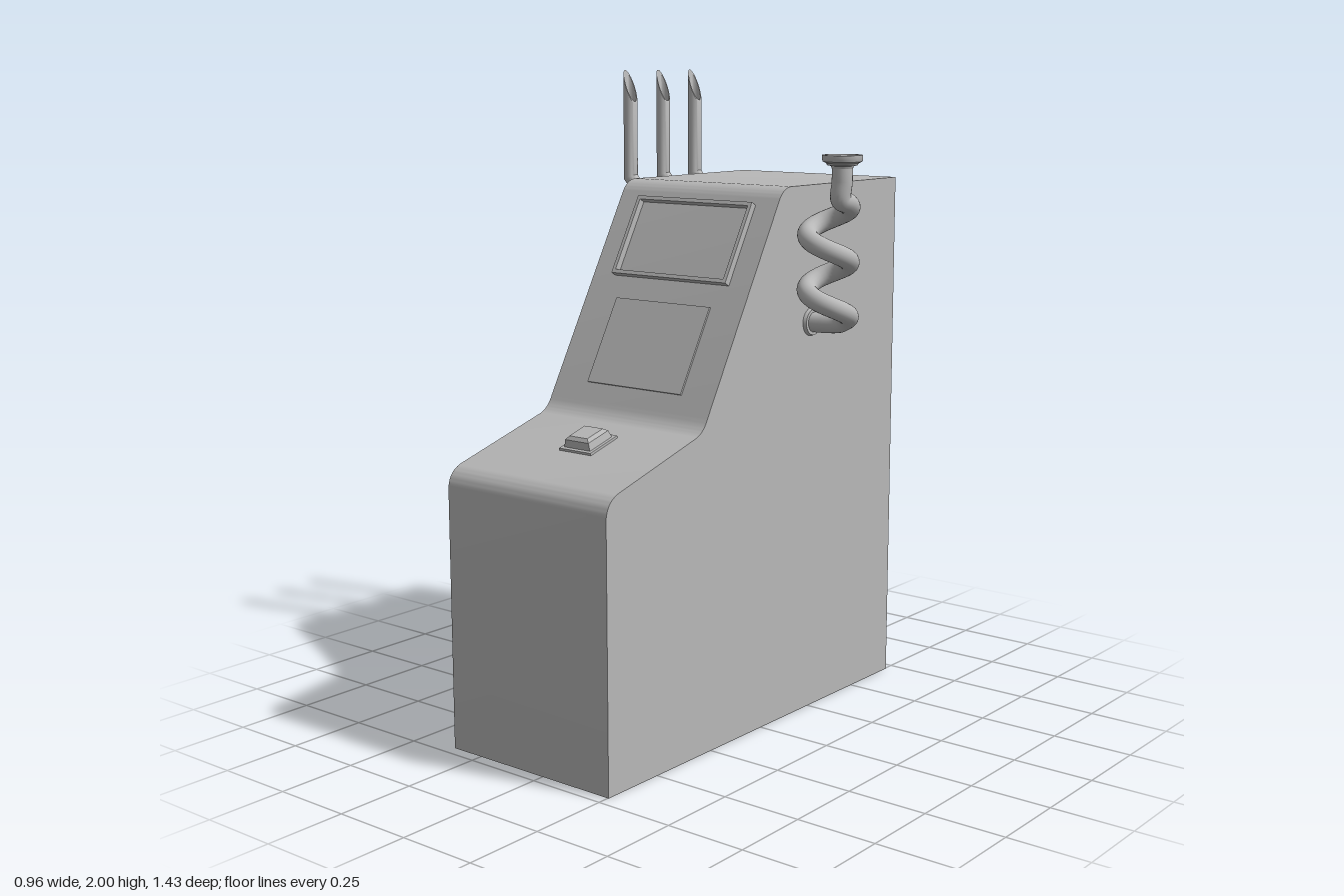
import * as THREE from 'three';
import { toCreasedNormals } from 'three/addons/utils/BufferGeometryUtils.js';

const grey = new THREE.MeshStandardMaterial({ color: 0xb8b8b8, side: THREE.DoubleSide });
grey.name = 'casing grey';

function part(name, geometry, crease) {
  const mesh = new THREE.Mesh(crease ? toCreasedNormals(geometry, crease) : geometry, grey);
  mesh.name = name;
  return mesh;
}

function rectangle(path, w, h) {
  return path.moveTo(-w / 2, -h / 2).lineTo(w / 2, -h / 2).lineTo(w / 2, h / 2).lineTo(-w / 2, h / 2).closePath();
}

// Side profile (z, y) with rounded corners, extruded across the width
function makeCabinet() {
  const s = new THREE.Shape();
  s.moveTo(-0.713, 0).lineTo(0.713, 0).lineTo(0.713, 0.8);
  s.quadraticCurveTo(0.71, 0.85, 0.66, 0.867);
  s.lineTo(0.32, 0.965);
  s.quadraticCurveTo(0.285, 0.977, 0.267, 1.015);
  s.lineTo(-0.075, 1.62);
  s.quadraticCurveTo(-0.097, 1.66, -0.14, 1.66);
  s.lineTo(-0.713, 1.66).closePath();
  const g = new THREE.ExtrudeGeometry(s, { depth: 0.613, bevelEnabled: false, curveSegments: 12 });
  g.rotateY(-Math.PI / 2).translate(0.253, 0, 0);
  return part('cabinet', g, 0.5);
}

// Raised screen border and the thin panel below it, lying on the sloped face
function makeSlopeDetails() {
  const group = new THREE.Group();
  group.name = 'slopeDetails';
  group.position.set(-0.05, 1.49, 0);
  group.rotation.x = -0.515;
  const border = rectangle(new THREE.Shape(), 0.445, 0.265);
  border.holes.push(rectangle(new THREE.Path(), 0.421, 0.241));
  const frame = new THREE.ExtrudeGeometry(border, { depth: 0.024, bevelEnabled: false });
  frame.translate(0, 0, -0.004);
  const panel = part('lowerPanel', new THREE.BoxGeometry(0.365, 0.28, 0.008));
  panel.position.set(0, -0.347, 0);
  group.add(part('screenFrame', frame), panel);
  return group;
}

// Four-sided tapered block standing on y = 0
function taperedBlock(base, top, height) {
  const g = new THREE.BoxGeometry(base, height, base).translate(0, height / 2, 0);
  const p = g.attributes.position;
  for (let i = 0; i < p.count; i++) {
    if (p.getY(i) > height / 2) p.setXYZ(i, p.getX(i) * top / base, height, p.getZ(i) * top / base);
  }
  g.computeVertexNormals();
  return g;
}

// Push button on the shelf
function makeButton() {
  const group = new THREE.Group();
  group.name = 'button';
  group.position.set(-0.05, 0.927, 0.443);
  group.rotation.x = 0.28;
  const plate = part('buttonPlate', new THREE.BoxGeometry(0.122, 0.02, 0.122));
  const skirt = part('buttonSkirt', taperedBlock(0.1, 0.09, 0.022));
  skirt.position.y = 0.01;
  const crown = part('buttonCrown', taperedBlock(0.09, 0.07, 0.009));
  crown.position.y = 0.032;
  group.add(plate, skirt, crown);
  return group;
}

// Bent exhaust pipe: rings sheared to the wall, the elbow and the slanted mouth
function exhaustGeometry() {
  const n = 24, R = 0.0225, r = 0.019, cx = -0.4605;
  const rings = [
    (c, s) => [-0.35, 1.535 + R * c * 1.45, R * s],
    (c, s) => [cx + R * c, 1.655 + R * c * 0.4, R * s],
    (c, s) => [cx + R * c, 1.945 - 0.055 * c, R * s],
    (c, s) => [cx + r * c, 1.945 - 0.046 * c, r * s],
    (c, s) => [cx + r * c, 1.67 + r * c * 0.4, r * s],
    () => [cx, 1.67, 0],
  ];
  const pos = [], idx = [];
  rings.forEach((f, j) => {
    for (let i = 0; i <= n; i++) {
      const a = i / n * Math.PI * 2;
      pos.push(...f(Math.cos(a), Math.sin(a)));
      if (j && i) {
        const b = j * (n + 1) + i, d = b - n - 1;
        idx.push(d - 1, b - 1, b, d - 1, b, d);
      }
    }
  });
  const g = new THREE.BufferGeometry();
  g.setAttribute('position', new THREE.Float32BufferAttribute(pos, 3));
  g.setIndex(idx);
  return g;
}

// Spiral pipe climbing from the side wall to a flared cup
function makeSpiralPipe() {
  const group = new THREE.Group();
  group.name = 'spiralPipe';
  const cx = 0.353, cz = -0.19, R = 0.063, points = [new THREE.Vector3(0.245, 1.24, -0.247)];
  points.push(new THREE.Vector3(0.3, 1.24, -0.25));
  const end = Math.PI * 2 * 2.31;
  for (let i = 0; i <= 36; i++) {
    const t = end * i / 36;
    points.push(new THREE.Vector3(cx + R * Math.sin(t), 1.245 + 0.165 * t / (Math.PI * 2), cz - R * Math.cos(t)));
  }
  const topX = 0.416, topZ = -0.165;
  points.push(new THREE.Vector3(topX, 1.68, topZ), new THREE.Vector3(topX, 1.73, topZ));
  const curve = new THREE.CatmullRomCurve3(points, false, 'centripetal');
  group.add(part('spiralTube', new THREE.TubeGeometry(curve, 240, 0.031, 20)));

  // Wall flange
  const flange = part('wallFlange', new THREE.CylinderGeometry(0.04, 0.045, 0.016, 32));
  flange.rotation.z = -Math.PI / 2;
  flange.position.set(0.256, 1.24, -0.247);
  group.add(flange);

  // Cup with a hollow mouth
  const profile = [[0.031, -0.04], [0.034, -0.032], [0.045, -0.03], [0.048, -0.024], [0.058, -0.019], [0.06, -0.014],
    [0.06, 0], [0.052, 0], [0.047, -0.012], [0.026, -0.02], [0.024, -0.03], [0, -0.03]];
  const cup = part('cup', new THREE.LatheGeometry(profile.map(p => new THREE.Vector2(...p)), 40), 0.5);
  cup.position.set(topX, 1.758, topZ);
  group.add(cup);
  return group;
}

export function createModel() {
  const model = new THREE.Group();
  model.name = 'machine';
  model.add(makeCabinet(), makeSlopeDetails(), makeButton(), makeSpiralPipe());
  const exhaust = exhaustGeometry();
  [-0.233, -0.4, -0.567].forEach((z, i) => {
    const pipe = part('exhaustPipe' + (i + 1), exhaust, 0.6);
    pipe.position.z = z;
    model.add(pipe);
  });
  return model;
}
